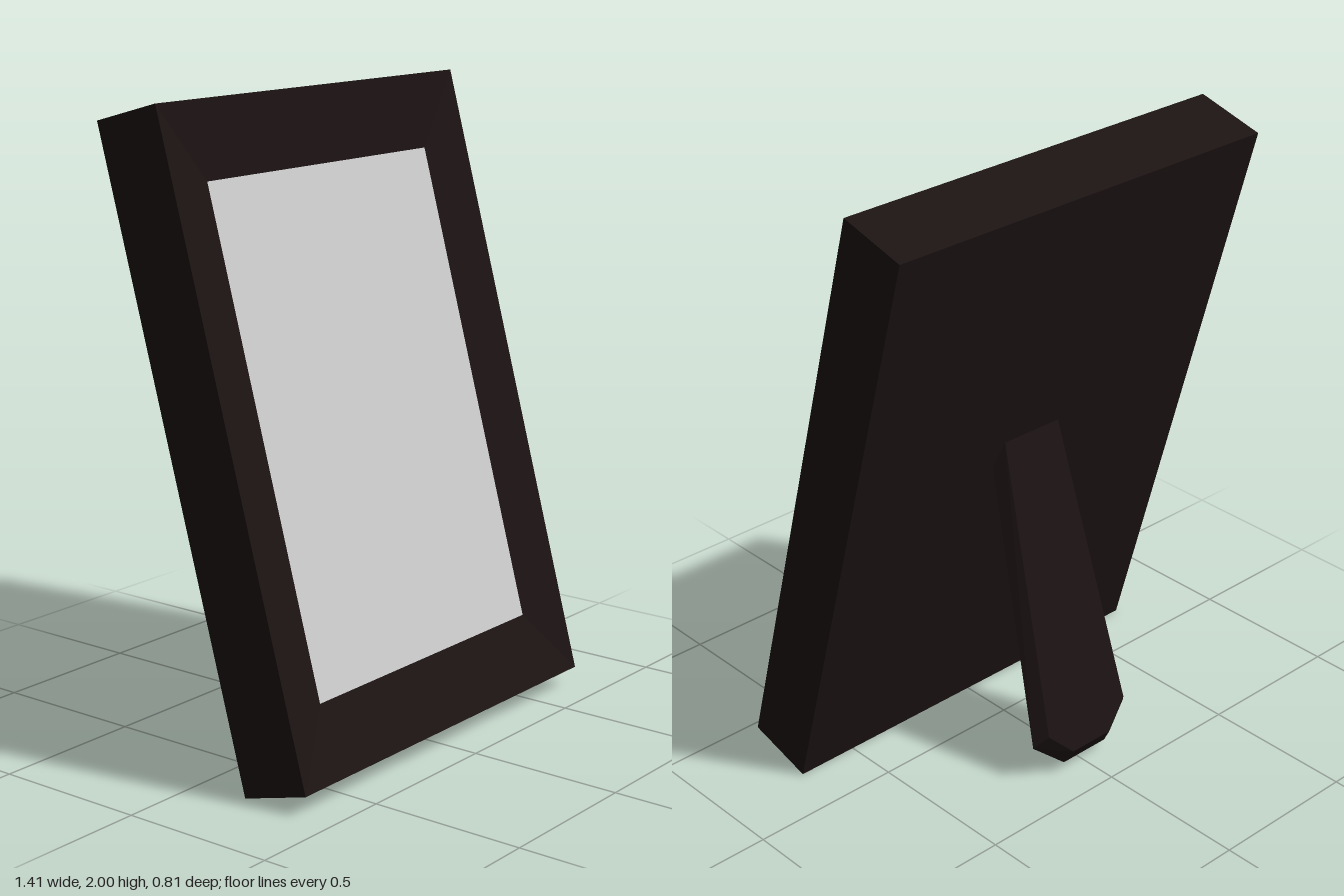
import * as THREE from 'three';
import { ConvexGeometry } from 'three/addons/geometries/ConvexGeometry.js';

const WIDTH = 1.41, HEIGHT = 2.008, DEPTH = 0.236;
const OPENING = { w: 1.05, bottom: 0.225, top: 1.773, recess: 0.033 };

// Rectangle corners, counter-clockwise seen from the front
const rect = (w, bottom, top, z) => [
  [-w / 2, bottom, z], [w / 2, bottom, z], [w / 2, top, z], [-w / 2, top, z],
];

// Flat-shaded skin through successive rectangles, closed at the last one
function loftRects(rings) {
  const pos = [];
  const quad = (a, b, c, d) => pos.push(...a, ...b, ...c, ...a, ...c, ...d);
  for (let r = 0; r + 1 < rings.length; r++) {
    for (let i = 0; i < 4; i++) {
      const j = (i + 1) % 4;
      quad(rings[r][i], rings[r + 1][i], rings[r + 1][j], rings[r][j]);
    }
  }
  const [a, b, c, d] = rings[rings.length - 1];
  quad(d, c, b, a);
  const geo = new THREE.BufferGeometry();
  geo.setAttribute('position', new THREE.Float32BufferAttribute(pos, 3));
  geo.computeVertexNormals();
  return geo;
}

export function createModel() {
  const model = new THREE.Group();
  model.name = 'pictureFrame';
  const dark = new THREE.MeshStandardMaterial({ color: 0x1c1313, flatShading: true });
  const grey = new THREE.MeshStandardMaterial({ color: 0xcccccc });

  // Leaning panel: origin at the bottom front edge
  const panel = new THREE.Group();
  panel.name = 'leaningPanel';
  panel.position.set(0, 0.064, 0.404);
  panel.rotation.x = THREE.MathUtils.degToRad(-15.4);
  model.add(panel);

  // Frame: border sloping in to the opening, with plain sides and back
  const frame = new THREE.Mesh(loftRects([
    rect(OPENING.w, OPENING.bottom, OPENING.top, -OPENING.recess),
    rect(WIDTH, 0, HEIGHT, 0),
    rect(WIDTH, 0, HEIGHT, -DEPTH),
  ]), dark);
  frame.name = 'frame';
  panel.add(frame);

  // Picture filling the opening
  const picture = new THREE.Mesh(
    new THREE.PlaneGeometry(OPENING.w, OPENING.top - OPENING.bottom), grey);
  picture.name = 'picture';
  picture.position.set(0, (OPENING.bottom + OPENING.top) / 2, -OPENING.recess);
  panel.add(picture);

  // Back stand: tapered strip with cut lower corners and a bevelled rear face
  const outline = [
    [0.14, 0, 0], [0.2, -0.923, 0], [0.09, -1.019, 0],
    [0.11, 0.076, -0.045], [0.165, -0.89, -0.045], [0.08, -0.976, -0.045],
  ];
  const points = outline.flatMap(([x, y, z]) =>
    [new THREE.Vector3(x, y, z), new THREE.Vector3(-x, y, z)]);
  const stand = new THREE.Mesh(new ConvexGeometry(points), dark);
  stand.name = 'backStand';
  stand.position.set(0, 1.018, -0.1);
  stand.rotation.x = THREE.MathUtils.degToRad(15.7);
  model.add(stand);

  return model;
}
